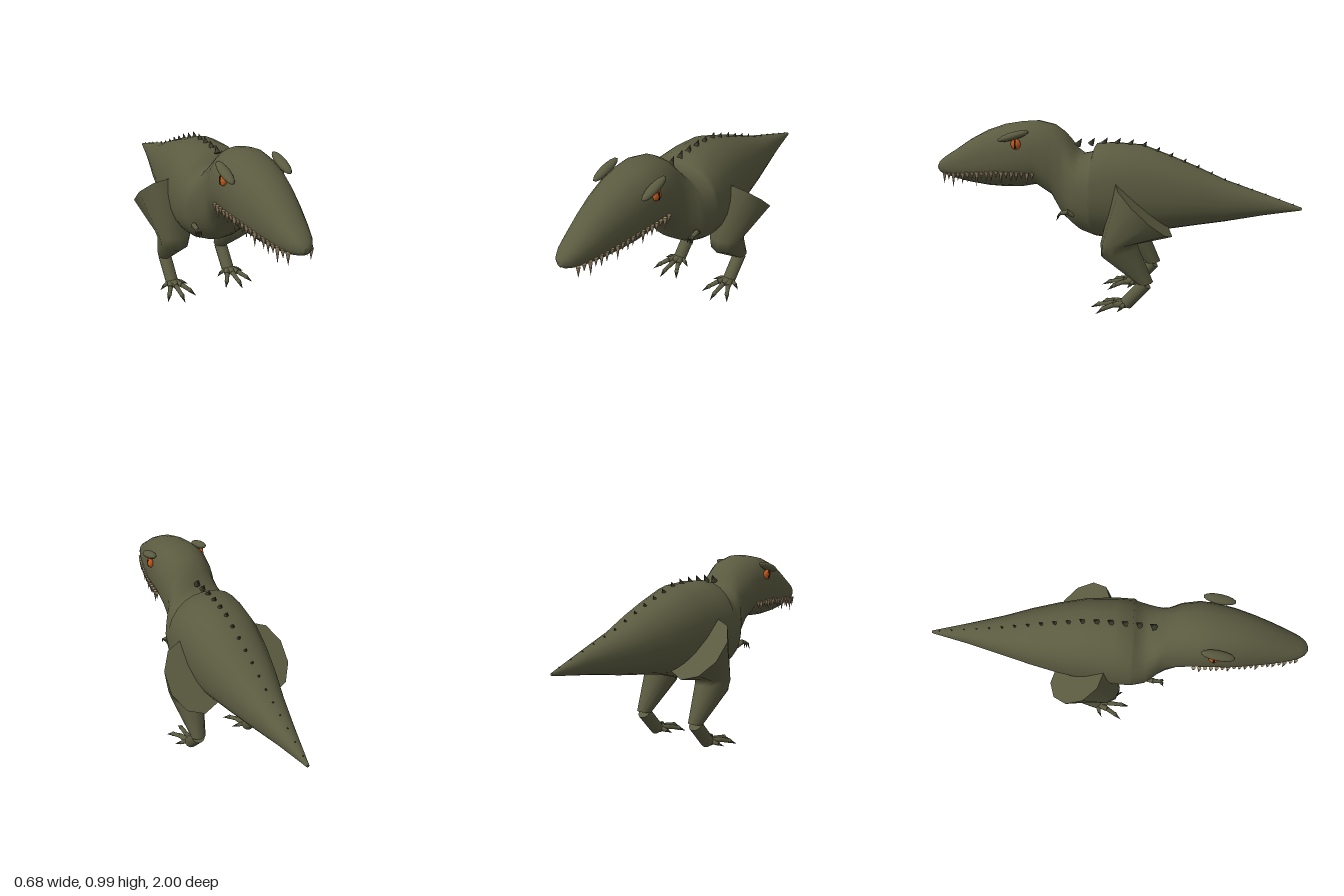
import * as THREE from 'three';

const flat = (name, color) => Object.assign(new THREE.MeshStandardMaterial({ color }), { name });
const V = (x, y, z) => new THREE.Vector3(x, y, z);

// Skin a list of equal-length rings and close both ends with flat fans
function loft(rings) {
  const n = rings[0].length, pos = [], idx = [];
  rings.forEach(r => r.forEach(p => pos.push(p.x, p.y, p.z)));
  for (let i = 0; i < rings.length - 1; i++) {
    for (let j = 0; j < n; j++) {
      const a = i * n + j, b = i * n + (j + 1) % n;
      idx.push(a, b, b + n, a, b + n, a + n);
    }
  }
  [rings[0], rings[rings.length - 1]].forEach((r, end) => {
    const start = pos.length / 3;
    const c = r.reduce((s, p) => s.add(p), V(0, 0, 0)).divideScalar(n);
    [...r, c].forEach(p => pos.push(p.x, p.y, p.z));
    for (let j = 0; j < n; j++) {
      const a = start + j, b = start + (j + 1) % n;
      if (end) idx.push(a, b, start + n); else idx.push(b, a, start + n);
    }
  });
  const g = new THREE.BufferGeometry();
  g.setAttribute('position', new THREE.Float32BufferAttribute(pos, 3));
  g.setIndex(idx);
  g.computeVertexNormals();
  return g;
}

// Body sections from tail to nose: z, top, bottom, half width, height of widest point
const SECTIONS = [
  [-1, 0.567, 0.553, 0.007, 0.56], [-0.8, 0.635, 0.52, 0.053, 0.575],
  [-0.6, 0.7, 0.48, 0.105, 0.585], [-0.45, 0.765, 0.455, 0.147, 0.6],
  [-0.31, 0.82, 0.43, 0.18, 0.61], [-0.15, 0.878, 0.378, 0.206, 0.62],
  [0, 0.886, 0.363, 0.22, 0.62], [0.092, 0.88, 0.375, 0.222, 0.62],
  [0.108, 0.835, 0.38, 0.22, 0.62], [0.17, 0.822, 0.402, 0.205, 0.62],
  [0.205, 0.85, 0.425, 0.185, 0.64], [0.24, 0.9, 0.45, 0.16, 0.67],
  [0.275, 0.94, 0.48, 0.147, 0.71], [0.33, 0.977, 0.59, 0.155, 0.77],
  [0.42, 0.996, 0.65, 0.162, 0.81], [0.5, 0.99, 0.633, 0.157, 0.81],
  [0.6, 0.973, 0.628, 0.144, 0.79], [0.7, 0.938, 0.632, 0.124, 0.77],
  [0.8, 0.885, 0.645, 0.102, 0.75], [0.89, 0.825, 0.663, 0.08, 0.735],
  [0.95, 0.787, 0.68, 0.06, 0.73], [0.985, 0.76, 0.694, 0.038, 0.726],
  [1, 0.735, 0.708, 0.014, 0.722],
];

// Interpolate one column of the section table
function sample(z, col) {
  let i = 0;
  while (i < SECTIONS.length - 2 && SECTIONS[i + 1][0] < z) i++;
  const a = SECTIONS[i], b = SECTIONS[i + 1];
  return THREE.MathUtils.lerp(a[col], b[col], (z - a[0]) / (b[0] - a[0]));
}

function bodyRing([z, top, bottom, hw, mid]) {
  return Array.from({ length: 24 }, (_, j) => {
    const a = j / 24 * Math.PI * 2, c = Math.cos(a), s = Math.sin(a);
    const round = v => Math.sign(v) * Math.abs(v) ** 0.9;
    return V(hw * round(c), mid + round(s) * (s > 0 ? top - mid : mid - bottom), z);
  });
}

// Oval ring: centre, half width in x, and the second half axis in y and z
function limbRing(x, y, z, rx, vy, vz, n = 10) {
  return Array.from({ length: n }, (_, j) => {
    const a = (j + 0.5) / n * Math.PI * 2;
    return V(x + rx * Math.cos(a), y + vy * Math.sin(a), z + vz * Math.sin(a));
  });
}

export function createModel() {
  const hide = flat('olive hide', 0x5b5b41), dark = flat('dark claw', 0x3d3d2d);
  const ivory = flat('tooth ivory', 0xa08c6c), amber = flat('amber eye', 0xc45a1c);
  const black = flat('pupil black', 0x15120e);
  const root = new THREE.Group();
  root.name = 'dinosaur';

  const add = (parent, name, geo, mat) => {
    const m = new THREE.Mesh(geo, mat);
    m.name = name;
    parent.add(m);
    return m;
  };
  const group = name => {
    const g = new THREE.Group();
    g.name = name;
    root.add(g);
    return g;
  };
  // Tapered rod between two points; end radius 0 gives a spike
  const rod = (parent, name, a, b, r1, r2, mat, sides = 8) => {
    const d = b.clone().sub(a);
    const m = add(parent, name, new THREE.CylinderGeometry(r2, r1, d.length(), sides), mat);
    m.position.copy(a).add(b).multiplyScalar(0.5);
    m.quaternion.setFromUnitVectors(V(0, 1, 0), d.normalize());
    return m;
  };
  const ball = (parent, name, p, sx, sy, sz, mat) => {
    const m = add(parent, name, new THREE.SphereGeometry(1, 14, 10), mat);
    m.position.copy(p);
    m.scale.set(sx, sy, sz);
    return m;
  };

  add(root, 'bodyAndHead', loft(SECTIONS.map(bodyRing)), hide);

  // Swept-back spikes along the spine
  const spine = group('spineSpikes');
  for (let i = 0; i < 17; i++) {
    const z = 0.2 - i * 0.072;
    const h = THREE.MathUtils.lerp(0.046, 0.014, Math.min(1, i / 13));
    const y = z > 0.09 ? 0.865 + (0.2 - z) * 0.1 : sample(z, 1) - 0.005;
    rod(spine, 'spineSpike', V(0, y, z), V(0, y + h * 0.85, z - h * 0.55), h * 0.4, 0, dark, 6);
  }

  for (const s of [1, -1]) {
    const side = s > 0 ? 'left' : 'right';

    // Eye with slit pupil under a heavy brow
    const face = group(side + 'Eye');
    ball(face, 'eyeball', V(s * 0.154, 0.888, 0.5), 0.016, 0.029, 0.027, amber);
    ball(face, 'pupil', V(s * 0.167, 0.888, 0.5), 0.004, 0.024, 0.006, black);
    const brow = ball(face, 'brow', V(s * 0.15, 0.93, 0.515), 0.027, 0.021, 0.09, hide);
    brow.rotation.x = 0.29;

    // Uneven teeth along the lip
    const teeth = group(side + 'Teeth');
    for (let i = 0; i < 19; i++) {
      const t = i / 18, z = 0.945 - 0.53 * t;
      const x = sample(z, 3) * 0.96, y = 0.7 + 0.036 * Math.min(1, t * 1.6);
      const len = [0.06, 0.042, 0.085, 0.05, 0.07][i % 5] * (1 - 0.15 * t);
      rod(teeth, 'tooth', V(s * x, y, z), V(s * (x - 0.002), y - len, z + 0.004), 0.011, 0, ivory, 6);
    }

    // Tiny arm with clawed fingers
    const arm = group(side + 'Arm');
    rod(arm, 'forearm', V(s * 0.165, 0.515, 0.19), V(s * 0.178, 0.538, 0.225), 0.012, 0.014, hide);
    rod(arm, 'wrist', V(s * 0.178, 0.538, 0.215), V(s * 0.174, 0.527, 0.258), 0.014, 0.01, hide);
    for (const k of [-1, 0, 1]) {
      const p = V(s * (0.174 + k * 0.012), 0.52, 0.268);
      rod(arm, 'finger', V(s * 0.174, 0.53, 0.25), p, 0.007, 0.006, hide, 6);
      rod(arm, 'fingerClaw', p, V(p.x + s * k * 0.004, 0.49, 0.278), 0.006, 0, dark, 6);
    }

    // Thigh and shin in one skin, with a cut top at the hip
    const leg = group(side + 'Leg');
    const x = s * 0.18;
    add(leg, 'thighAndShin', loft([
      limbRing(s * 0.2, 0.57, -0.19, 0.147, 0.136, 0.15),
      limbRing(s * 0.182, 0.385, -0.055, 0.1, -0.008, 0.097),
      limbRing(x, 0.335, -0.06, 0.086, -0.03, 0.1),
      limbRing(x, 0.164, -0.202, 0.039, -0.009, 0.039),
    ]), hide);
    rod(leg, 'ankle', V(x, 0.16, -0.2), V(x, 0.04, -0.095), 0.037, 0.036, hide, 12);
    ball(leg, 'footPad', V(x, 0.04, -0.08), 0.035, 0.024, 0.045, hide);

    // Three spread toes, a small outer pair, and curved claws
    for (const k of [-1, 0, 1]) {
      const mid = V(x + k * 0.036, 0.042, -0.03), tip = V(x + k * 0.062, 0.028, k ? 0.018 : 0.052);
      rod(leg, 'toe', V(x + k * 0.012, 0.042, -0.09), mid, 0.02, 0.015, hide);
      rod(leg, 'toeTip', mid, tip, 0.014, 0.011, hide);
      ball(leg, 'knuckle', tip, 0.013, 0.013, 0.013, hide);
      rod(leg, 'toeClaw', tip, V(x + k * 0.086, 0.005, k ? 0.055 : 0.1), 0.012, 0, dark, 6);
    }
    for (const k of [-1, 1]) {
      const tip = V(x + k * 0.058, 0.034, -0.075);
      rod(leg, 'sideToe', V(x + k * 0.015, 0.045, -0.09), tip, 0.014, 0.01, hide);
      rod(leg, 'sideClaw', tip, V(x + k * 0.085, 0.022, -0.06), 0.009, 0, dark, 6);
    }
  }
  return root;
}
